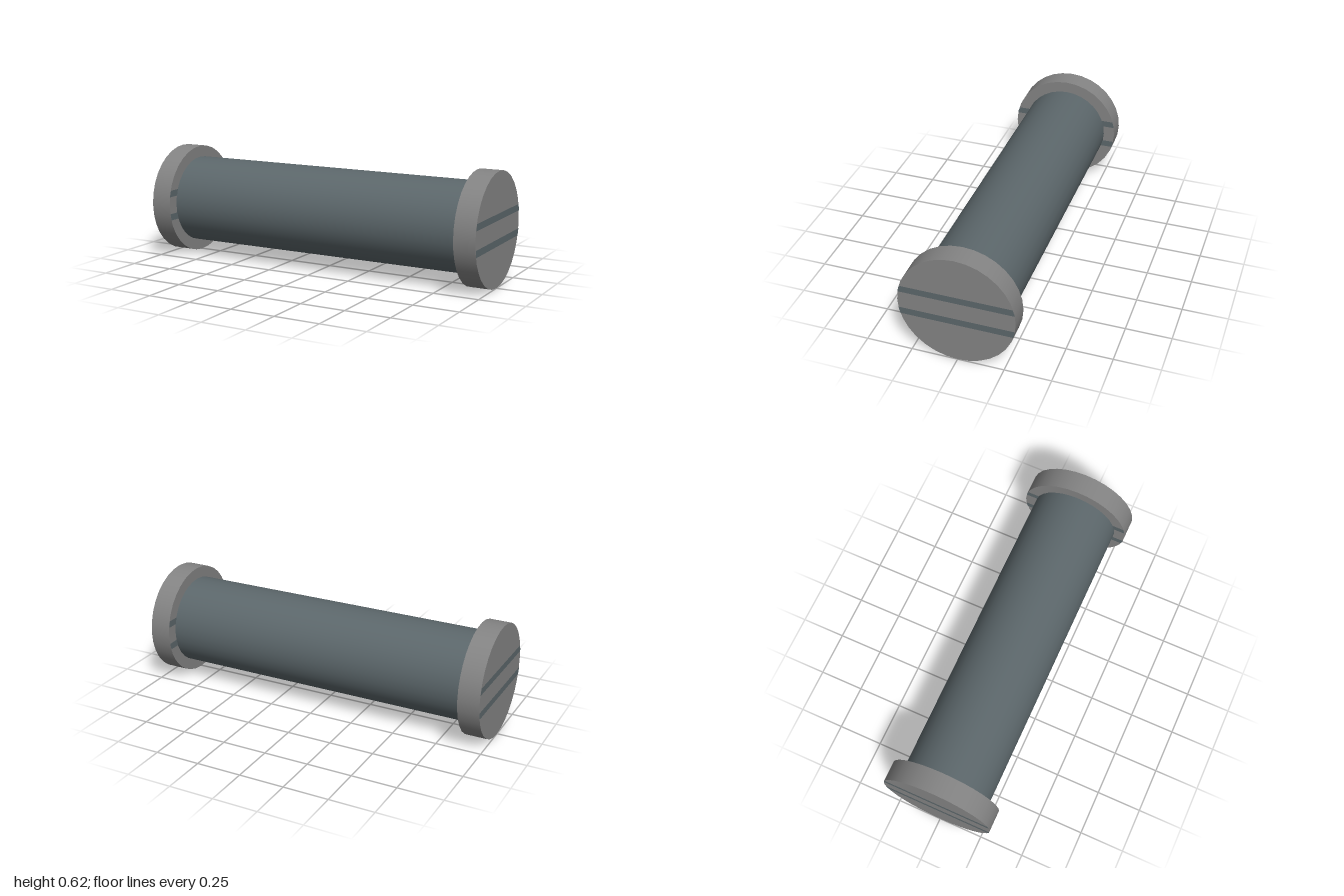
import * as THREE from 'three';

const R = 0.3125, BODY_R = 0.248, CAP_W = 0.12, SIDES = 32;

// Half-width of the 32-sided cap outline at height y from its centre
function halfWidth(y) {
  const step = (2 * Math.PI) / SIDES;
  const i = Math.floor(Math.asin(y / R) / step);
  const a = i * step, b = a + step;
  const t = (y / R - Math.sin(a)) / (Math.sin(b) - Math.sin(a));
  return R * (Math.cos(a) + t * (Math.cos(b) - Math.cos(a)));
}

// Flat stripe across the cap, trimmed to its outline
function stripeGeometry(y0, y1) {
  const ym = Math.sign(y0) * R * Math.sin((2 * Math.PI) / SIDES);
  const ys = [y0, ym, y1];
  const points = [
    ...ys.map((y) => new THREE.Vector2(halfWidth(y), y)),
    ...ys.slice().reverse().map((y) => new THREE.Vector2(-halfWidth(y), y)),
  ];
  return new THREE.ShapeGeometry(new THREE.Shape(points));
}

export function createModel() {
  const model = new THREE.Group();
  model.name = 'cappedRoller';

  const grey = new THREE.MeshStandardMaterial({ color: 0x848484 });
  grey.name = 'capGrey';
  const slate = new THREE.MeshStandardMaterial({ color: 0x5c676b });
  slate.name = 'slate';

  const add = (name, geometry, material, x) => {
    const mesh = new THREE.Mesh(geometry, material);
    mesh.name = name;
    mesh.position.set(x, R, 0);
    model.add(mesh);
    return mesh;
  };

  // Long barrel between the caps
  const barrel = new THREE.CylinderGeometry(BODY_R, BODY_R, 2 - 2 * CAP_W, SIDES, 1, true);
  add('barrel', barrel.rotateZ(Math.PI / 2), slate, 0);

  // End caps, each with two stripes on its outer and inner face
  const cap = new THREE.CylinderGeometry(R, R, CAP_W, SIDES).rotateZ(Math.PI / 2);
  const stripes = [stripeGeometry(0.051, 0.088), stripeGeometry(-0.086, -0.048)];
  for (const side of [-1, 1]) {
    const name = side > 0 ? 'left' : 'right';
    add(name + 'Cap', cap, grey, side * (1 - CAP_W / 2));
    for (const geometry of stripes) {
      add(name + 'OuterStripe', geometry, slate, side * 1.001).rotation.y = (side * Math.PI) / 2;
      add(name + 'InnerStripe', geometry, slate, side * (1 - CAP_W - 0.001)).rotation.y = (-side * Math.PI) / 2;
    }
  }
  return model;
}
